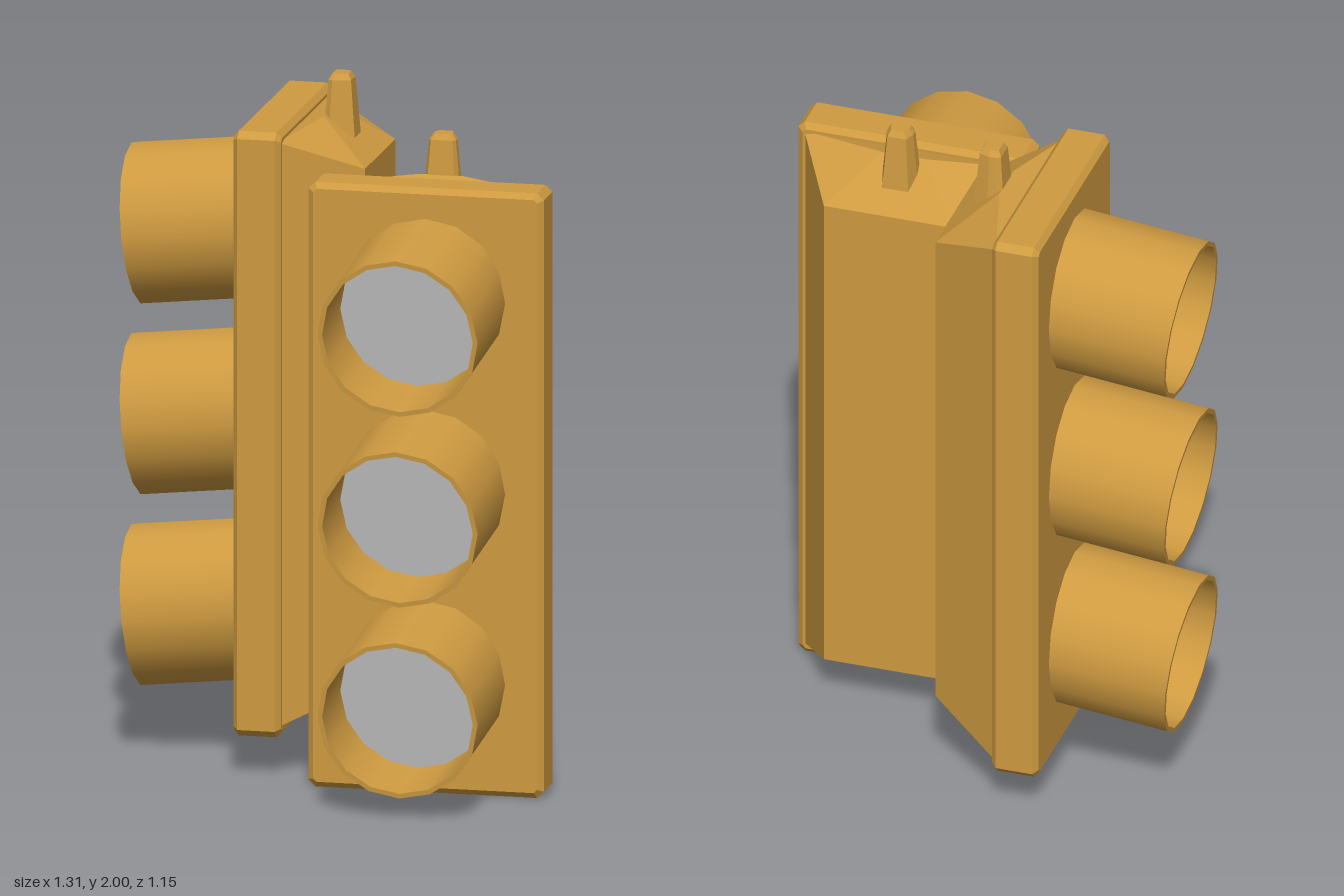
import * as THREE from 'three';
import { mergeGeometries } from 'three/addons/utils/BufferGeometryUtils.js';

const housingPaint = new THREE.MeshStandardMaterial({ color: 0xcf9b41 });
housingPaint.name = 'ochre housing';
const lensGrey = new THREE.MeshStandardMaterial({ color: 0xbfbfbf });
lensGrey.name = 'grey lens';

const TILT = 0.105; // visors droop slightly
const SIDES = 16;

// Flat-shaded geometry from corners and triangle indices
function faceted(points, triangles) {
  const indexed = new THREE.BufferGeometry();
  indexed.setAttribute('position', new THREE.Float32BufferAttribute(points.flat(), 3));
  indexed.setIndex(triangles);
  const geometry = indexed.toNonIndexed();
  geometry.computeVertexNormals();
  return geometry;
}

const quad = (a, b, c, d) => [a, b, c, a, c, d];

function mesh(name, geometry, material) {
  const m = new THREE.Mesh(geometry, material);
  m.name = name;
  return m;
}

// Chamfered front slab
function frontPlateGeometry() {
  const w = 0.328, h = 0.87, c = 0.01;
  const shape = new THREE.Shape([
    [w - c, -h], [w, -h + c], [w, h - c], [w - c, h],
    [-w + c, h], [-w, h - c], [-w, -h + c], [-w + c, -h],
  ].map(([x, y]) => new THREE.Vector2(x, y)));
  const geometry = new THREE.ExtrudeGeometry(shape, {
    depth: 0.11, bevelThickness: 0.015, bevelSize: 0.017, bevelSegments: 1,
  });
  return geometry.translate(0, 0.887, 0.075);
}

// Tapered rear shell with a raised ridge on top
function rearShellGeometry() {
  const points = [
    [-0.325, 0.03, 0.07], [0.325, 0.03, 0.07], [0.325, 1.745, 0.07], [-0.325, 1.745, 0.07],
    [-0.193, 0.13, -0.155], [0.193, 0.13, -0.155], [0.193, 1.65, -0.155], [-0.193, 1.65, -0.155],
    [-0.065, 1.768, -0.005], [0.065, 1.768, -0.005],
  ];
  return faceted(points, [
    ...quad(5, 4, 7, 6), ...quad(1, 5, 6, 2), ...quad(4, 0, 3, 7), ...quad(4, 5, 1, 0),
    ...quad(3, 2, 9, 8), ...quad(8, 9, 6, 7), 2, 6, 9, 3, 8, 7,
  ]);
}

// Tapered mounting peg lofted from an eight-sided section
function pegGeometry() {
  const section = [
    [-0.045, 0.046], [0.045, 0.046], [0.056, 0.028], [0.056, -0.002],
    [0.04, -0.047], [-0.04, -0.047], [-0.056, -0.002], [-0.056, 0.028],
  ];
  const levels = [[1.69, 1], [1.868, 0.7], [1.885, 0.5]];
  const n = section.length;
  const points = [], triangles = [];
  levels.forEach(([y, s], k) => {
    section.forEach(([x, z], i) => {
      points.push([x * s, y, z * s - 0.043]);
      const j = (i + 1) % n;
      if (k > 0) triangles.push(...quad((k - 1) * n + i, (k - 1) * n + j, k * n + j, k * n + i));
    });
  });
  const top = (levels.length - 1) * n;
  for (let i = 1; i < n - 1; i++) triangles.push(top, top + i, top + i + 1);
  return faceted(points, triangles);
}

// Hollow visor pointing along +z: outer wall, rim and inner wall
function visorGeometry() {
  const outer = 0.235, inner = 0.221, back = -0.06, front = 0.352;
  const profile = [[outer, back], [outer, front], [inner, front], [inner, back]];
  const walls = [0, 1, 2].map((i) => new THREE.LatheGeometry(
    [profile[i], profile[i + 1]].map(([r, y]) => new THREE.Vector2(r, y)), SIDES));
  return mergeGeometries(walls).rotateX(Math.PI / 2);
}

function createSignal(name) {
  const signal = new THREE.Group();
  signal.name = name;
  signal.add(
    mesh('frontPlate', frontPlateGeometry(), housingPaint),
    mesh('rearShell', rearShellGeometry(), housingPaint),
    mesh('mountingPeg', pegGeometry(), housingPaint),
  );
  // Three lamps, each a visor with a recessed lens
  for (let i = 0; i < 3; i++) {
    const lamp = new THREE.Group();
    lamp.name = 'lamp' + (i + 1);
    const lens = mesh('lens', new THREE.CircleGeometry(0.222, SIDES), lensGrey);
    lens.position.z = 0.12;
    lamp.add(mesh('visor', visorGeometry(), housingPaint), lens);
    lamp.position.set(0, 1.449 - i * 0.56, 0.2);
    lamp.rotation.x = TILT;
    signal.add(lamp);
  }
  return signal;
}

export function createModel() {
  const model = new THREE.Group();
  model.name = 'trafficSignals';

  const frontSignal = createSignal('frontSignal');
  frontSignal.position.set(0.305, 0, 0);

  // Second signal faces the right side and sits a little higher
  const sideSignal = createSignal('sideSignal');
  sideSignal.rotation.y = -Math.PI / 2;
  sideSignal.position.set(-0.081, 0.116, -0.232);

  model.add(frontSignal, sideSignal);
  return model;
}
